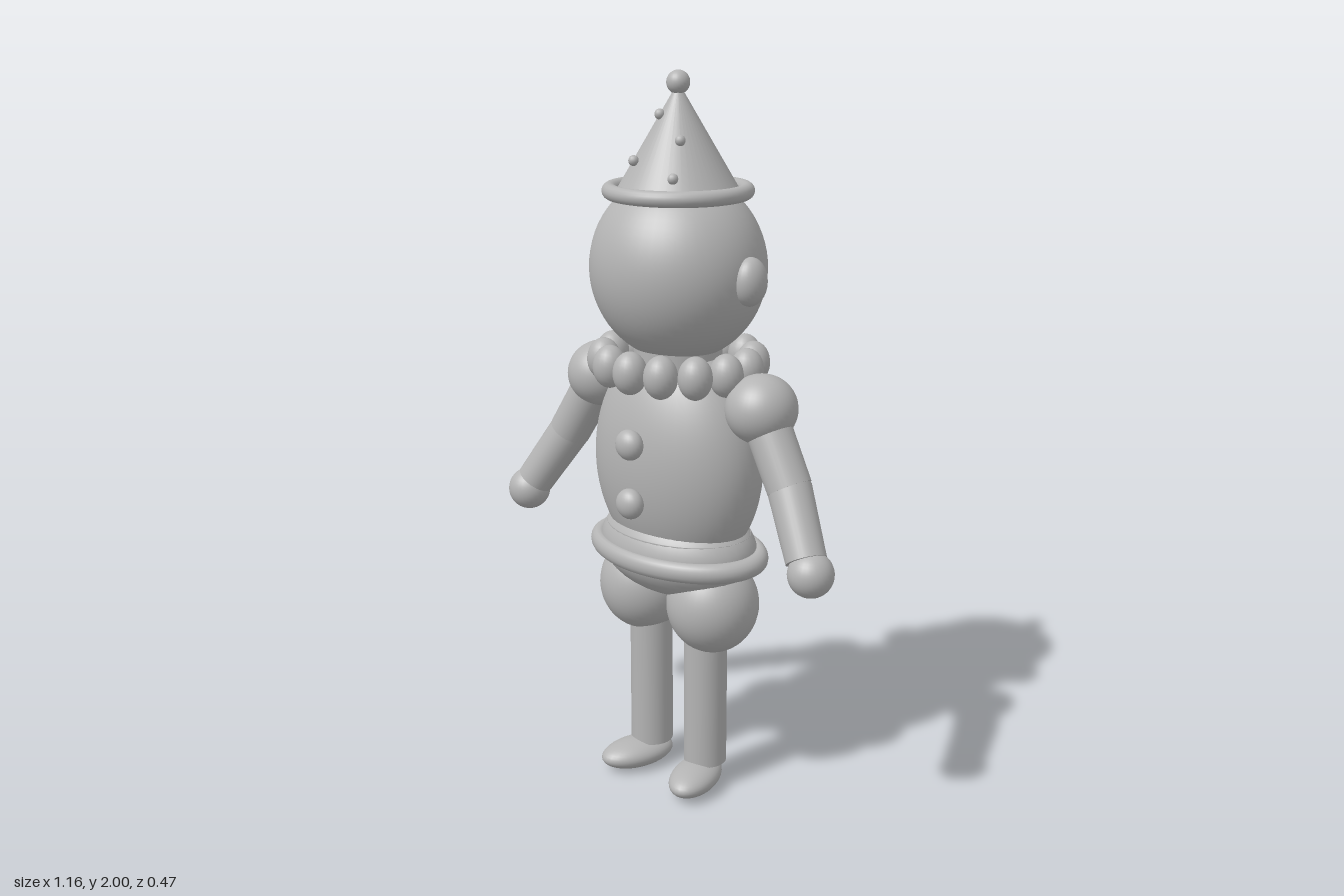
import * as THREE from 'three';

export function createModel() {
  const root = new THREE.Group();
  const grey = new THREE.MeshStandardMaterial({ color: 0xb4b4b4 });
  grey.name = 'plain grey';

  const add = (name, geometry, x = 0, y = 0, z = 0) => {
    const mesh = new THREE.Mesh(geometry, grey);
    mesh.name = name;
    mesh.position.set(x, y, z);
    root.add(mesh);
    return mesh;
  };
  // ellipsoid given by its three radii
  const blob = (name, rx, ry, rz, x, y, z, seg = 40) =>
    add(name, new THREE.SphereGeometry(1, seg, Math.round(seg * 0.7)).scale(rx, ry, rz), x, y, z);
  // cylinder running between two points
  const rod = (name, a, b, ra, rb = ra) => {
    const from = new THREE.Vector3(...a), to = new THREE.Vector3(...b);
    const dir = to.clone().sub(from);
    const mesh = add(name, new THREE.CylinderGeometry(rb, ra, dir.length(), 32));
    mesh.position.copy(from).add(to).multiplyScalar(0.5);
    mesh.quaternion.setFromUnitVectors(new THREE.Vector3(0, 1, 0), dir.normalize());
    return mesh;
  };

  // Head and neck
  blob('head', 0.243, 0.25, 0.23, 0, 1.49, 0, 48);
  rod('neck', [0, 1.18, 0], [0, 1.3, 0], 0.12);

  // Pointed hat with rolled brim and pompom
  const baseY = 1.685, hatR = 0.168, hatH = 0.285;
  add('hat', new THREE.ConeGeometry(hatR, hatH, 48), 0, baseY + hatH / 2, 0);
  add('hatBrim', new THREE.TorusGeometry(0.18, 0.021, 16, 56).rotateX(Math.PI / 2), 0, 1.693, 0);
  blob('hatPompom', 0.031, 0.031, 0.031, 0, 1.969, 0, 24);
  // thin stripe lying on the cone
  add('hatStripe', new THREE.ConeGeometry(hatR + 0.005, hatH + 0.004, 6, 1, true, 0.6, 0.17),
    0, baseY + hatH / 2 + 0.002, 0);
  for (const [x, y, z] of [[-0.022, 1.89, 0.047], [-0.053, 1.775, 0.113],
    [0.064, 1.83, 0.064], [0.087, 1.74, 0.118]]) {
    blob('hatDot', 0.014, 0.014, 0.014, x, y, z, 14);
  }

  // Ruffled collar
  const beads = 14;
  for (let i = 0; i < beads; i++) {
    const a = (i / beads) * Math.PI * 2;
    blob('collarBead', 0.046, 0.058, 0.046, Math.sin(a) * 0.21, 1.235, Math.cos(a) * 0.19, 22);
  }

  // Torso, buttons, hips and waist ring
  blob('torso', 0.263, 0.33, 0.182, 0, 0.96, 0, 48);
  for (const y of [1.04, 0.875]) blob('button', 0.042, 0.042, 0.032, 0, y, 0.195, 24);
  add('waistband', new THREE.CylinderGeometry(1, 1, 0.09, 48).scale(0.225, 1, 0.165), 0, 0.72, 0);
  blob('hips', 0.245, 0.14, 0.178, 0, 0.71, 0);
  add('waistRing', new THREE.TorusGeometry(0.255, 0.028, 16, 64).rotateX(Math.PI / 2)
    .scale(1, 1, 0.69), 0, 0.7, 0);

  for (const s of [1, -1]) {
    const side = s > 0 ? 'left' : 'right';
    blob(side + 'Ear', 0.042, 0.064, 0.05, s * 0.242, 1.48, -0.005, 28);

    // Arm bent forward at the elbow
    const shoulder = [s * 0.29, 1.152, 0], elbow = [s * 0.402, 0.965, 0.02];
    const wrist = [s * 0.5, 0.805, 0.072];
    blob(side + 'Shoulder', 0.095, 0.093, 0.098, ...shoulder);
    rod(side + 'UpperArm', shoulder, elbow, 0.062, 0.06);
    blob(side + 'Elbow', 0.056, 0.056, 0.056, ...elbow, 28);
    rod(side + 'Forearm', elbow, wrist, 0.059, 0.054);
    blob(side + 'Hand', 0.061, 0.061, 0.061, s * 0.52, 0.775, 0.078, 28);

    // Puffy trouser, leg and turned-out shoe
    blob(side + 'Trouser', 0.129, 0.138, 0.129, s * 0.128, 0.563, 0);
    rod(side + 'Leg', [s * 0.103, 0.075, 0], [s * 0.103, 0.5, 0], 0.061);
    blob(side + 'Shoe', 0.066, 0.041, 0.114, s * 0.113, 0.043, 0.053, 32).rotation.y = s * 0.3;
  }
  return root;
}
